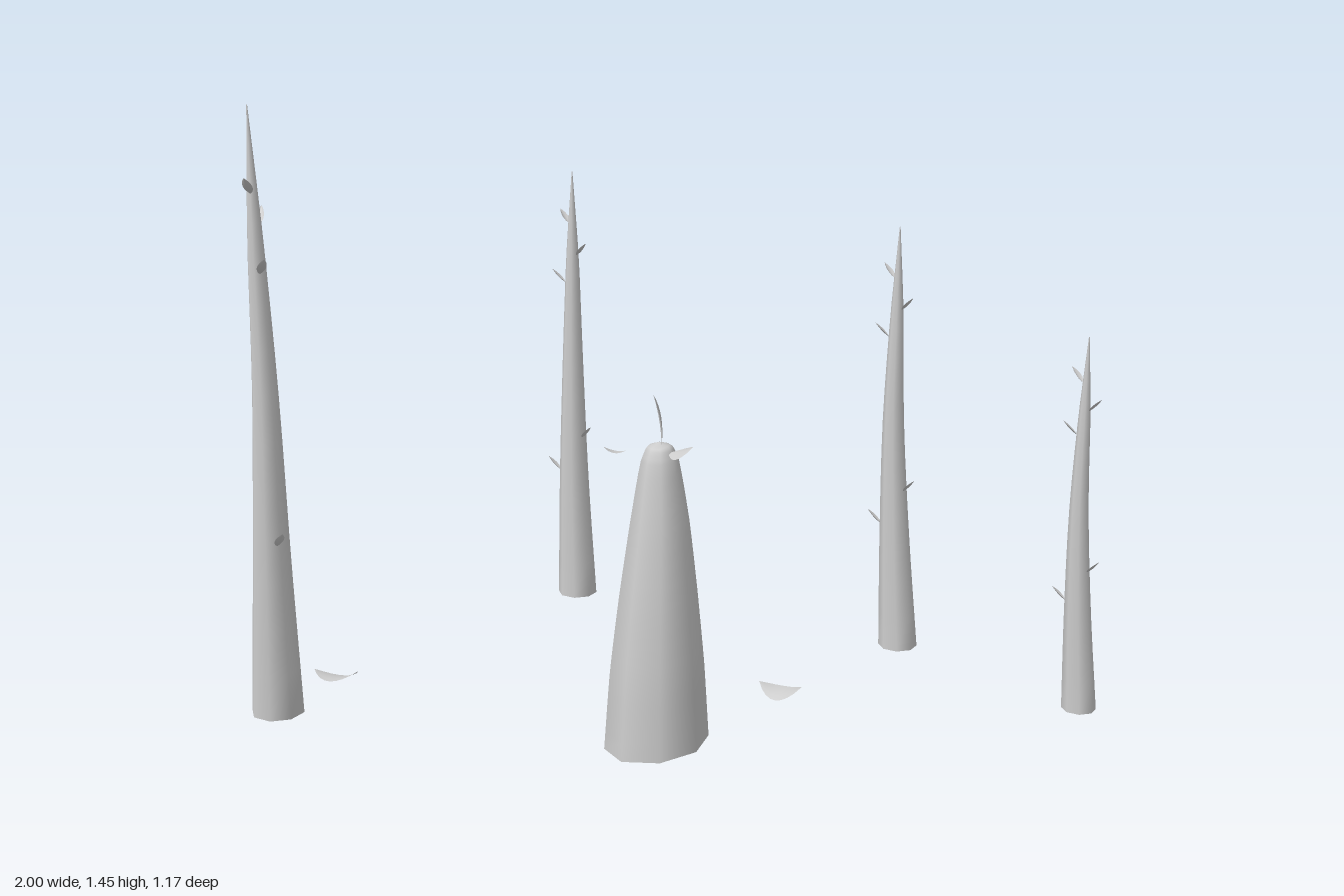
import * as THREE from 'three';

const material = new THREE.MeshStandardMaterial({ color: 0xcccccc, side: THREE.DoubleSide });
const V = (a) => new THREE.Vector3(...a);

// Open-bottomed hollow stem: rings follow a centre curve; each station is [x, y, z, radius]
function stem(name, stations, rows, tilt = 0, turn = 0) {
  const sides = 8;
  const path = new THREE.CatmullRomCurve3(stations.map((s) => V(s)));
  const radii = new THREE.CatmullRomCurve3(stations.map((s) => new THREE.Vector3(s[3], 0, 0)));
  const geo = new THREE.CylinderGeometry(1, 1, 1, sides, rows, true, turn);
  const pos = geo.attributes.position;
  for (let i = 0; i < pos.count; i++) {
    const t = pos.getY(i) + 0.5;
    const c = path.getPoint(t);
    const r = Math.max(0.0005, radii.getPoint(t).x);
    const dx = pos.getX(i) * r, dz = pos.getZ(i) * r;
    pos.setXYZ(i, c.x + dx, c.y + tilt * dx * (1 - t), c.z + dz);
  }
  geo.computeVertexNormals();
  // Match normals across the seam
  const n = geo.attributes.normal;
  for (let j = 0; j <= rows; j++) {
    const a = j * (sides + 1), b = a + sides;
    const m = new THREE.Vector3().fromBufferAttribute(n, a)
      .add(new THREE.Vector3().fromBufferAttribute(n, b)).normalize();
    n.setXYZ(a, m.x, m.y, m.z);
    n.setXYZ(b, m.x, m.y, m.z);
  }
  const mesh = new THREE.Mesh(geo, material);
  mesh.name = name;
  return { mesh, path, radii };
}

// Thin pointed leaf from base to tip; side is its width direction, bend its mid-length offset
function leaf(name, from, to, width, side, bend = [0, 0, 0], cup = 0) {
  const a = V(from), b = V(to), s = V(side).normalize(), k = V(bend);
  const up = new THREE.Vector3().crossVectors(b.clone().sub(a), s).normalize();
  const geo = new THREE.PlaneGeometry(2, 1, 4, 8);
  const pos = geo.attributes.position;
  const p = new THREE.Vector3();
  for (let i = 0; i < pos.count; i++) {
    const t = pos.getY(i) + 0.5, u = pos.getX(i);
    const w = Math.pow(Math.max(0, Math.sin(Math.PI * t)), 0.8);
    p.lerpVectors(a, b, t)
      .addScaledVector(k, 4 * t * (1 - t))
      .addScaledVector(s, (u * w * width) / 2)
      .addScaledVector(up, cup * u * u * w);
    pos.setXYZ(i, p.x, p.y, p.z);
  }
  geo.computeVertexNormals();
  const mesh = new THREE.Mesh(geo, material);
  mesh.name = name;
  return mesh;
}

// Tapering trunk with thorns, each thorn given as [height, dirX, dirZ]
function tree(name, stations, thorns, size) {
  const group = new THREE.Group();
  group.name = name;
  const { mesh, path, radii } = stem('trunk', stations, 14);
  group.add(mesh);
  for (const [y, dx, dz] of thorns) {
    // Find the station on the trunk at this height
    let lo = 0, hi = 1;
    for (let i = 0; i < 24; i++) {
      const m = (lo + hi) / 2;
      if (path.getPoint(m).y < y) lo = m; else hi = m;
    }
    const c = path.getPoint(lo), r = radii.getPoint(lo).x * 0.9;
    const d = new THREE.Vector3(dx, 0, dz).normalize();
    const root = c.clone().addScaledVector(d, r);
    const tip = root.clone().addScaledVector(d, 0.038 * size);
    tip.y += 0.038 * size;
    const bend = [0, -0.004 * size, 0];
    group.add(leaf('thorn', root.toArray(), tip.toArray(), 0.02 * size, [d.z, 0, -d.x], bend, 0.004));
  }
  return group;
}

export function createModel() {
  const model = new THREE.Group();

  // Tallest tree, front right
  model.add(tree('tallTree', [
    [-0.935, 0.005, 0.345, 0.064], [-0.924, 0.4, 0.364, 0.046],
    [-0.915, 0.8, 0.375, 0.031], [-0.918, 1.15, 0.378, 0.019], [-0.922, 1.455, 0.375, 0.001],
  ], [[1.26, 0, 1], [1.18, 0, -1], [1.08, 0.6, 0.9], [0.55, 0, -1], [0.44, 0.6, 0.8]], 1.1));

  // Three similar trees: base x, z, radius, tip x, z, height
  const trees = [
    [-0.366, -0.535, 0.052, -0.369, -0.556, 1.163],
    [0.516, -0.258, 0.049, 0.494, -0.285, 1.09],
    [0.958, 0.09, 0.041, 0.94, 0.077, 0.915],
  ];
  const thornPattern = [
    [0.88, -0.8, -0.6], [0.81, 0.8, 0.6], [0.745, -1, 0], [0.385, 0.8, 0.6], [0.3, -1, -0.1],
  ];
  trees.forEach(([x, z, r, tx, tz, h], i) => {
    const mx = Math.min(x, tx) - 0.004;
    model.add(tree('tree' + (i + 1), [
      [x, 0.005, z, r],
      [(x + mx) / 2 - 0.003, h * 0.28, z * 0.6 + tz * 0.4, r * 0.76],
      [mx, h * 0.55, z * 0.25 + tz * 0.75, r * 0.54],
      [(mx + tx) / 2, h * 0.8, tz, r * 0.33],
      [tx, h, tz, 0.001],
    ], thornPattern.map(([t, dx, dz]) => [t * h, dx, dz]), 0.6 + 0.3 * h));
  });

  // Tapered sprout body with a rounded top and tilted hem
  const sprout = new THREE.Group();
  sprout.name = 'sprout';
  sprout.add(stem('body', [
    [-0.008, 0.033, 0.467, 0.119], [-0.006, 0.21, 0.467, 0.107], [-0.003, 0.39, 0.465, 0.088],
    [0, 0.56, 0.46, 0.066], [0, 0.7, 0.454, 0.042], [0, 0.732, 0.453, 0.028], [0, 0.742, 0.453, 0],
  ], 24, 0.11, 0.2).mesh);
  // Crown leaves: one upright, one to each side
  sprout.add(leaf('topLeaf', [0.005, 0.735, 0.46], [-0.012, 0.852, 0.466], 0.05, [0.12, 0, 1], [0.004, 0, 0], 0.004));
  sprout.add(leaf('leftLeaf', [0.022, 0.722, 0.47], [0.08, 0.748, 0.505], 0.045, [-0.5, -0.4, 0.8], [0, -0.004, 0], 0.005));
  sprout.add(leaf('rightLeaf', [-0.07, 0.727, 0.477], [-0.122, 0.733, 0.475], 0.028, [0, 0.1, 1], [0, -0.008, 0]));
  model.add(sprout);

  // Fallen leaves
  model.add(leaf('fallenLeafRight', [-0.885, 0.058, 0.208], [-0.762, 0.076, 0.25], 0.058, [-0.35, 0.1, 0.95], [0, -0.019, 0], 0.003));
  model.add(leaf('fallenLeafLeft', [0.2, 0.074, 0.185], [0.305, 0.085, 0.235], 0.056, [-0.4, -0.3, 0.85], [0, -0.02, 0], 0.004));

  return model;
}
